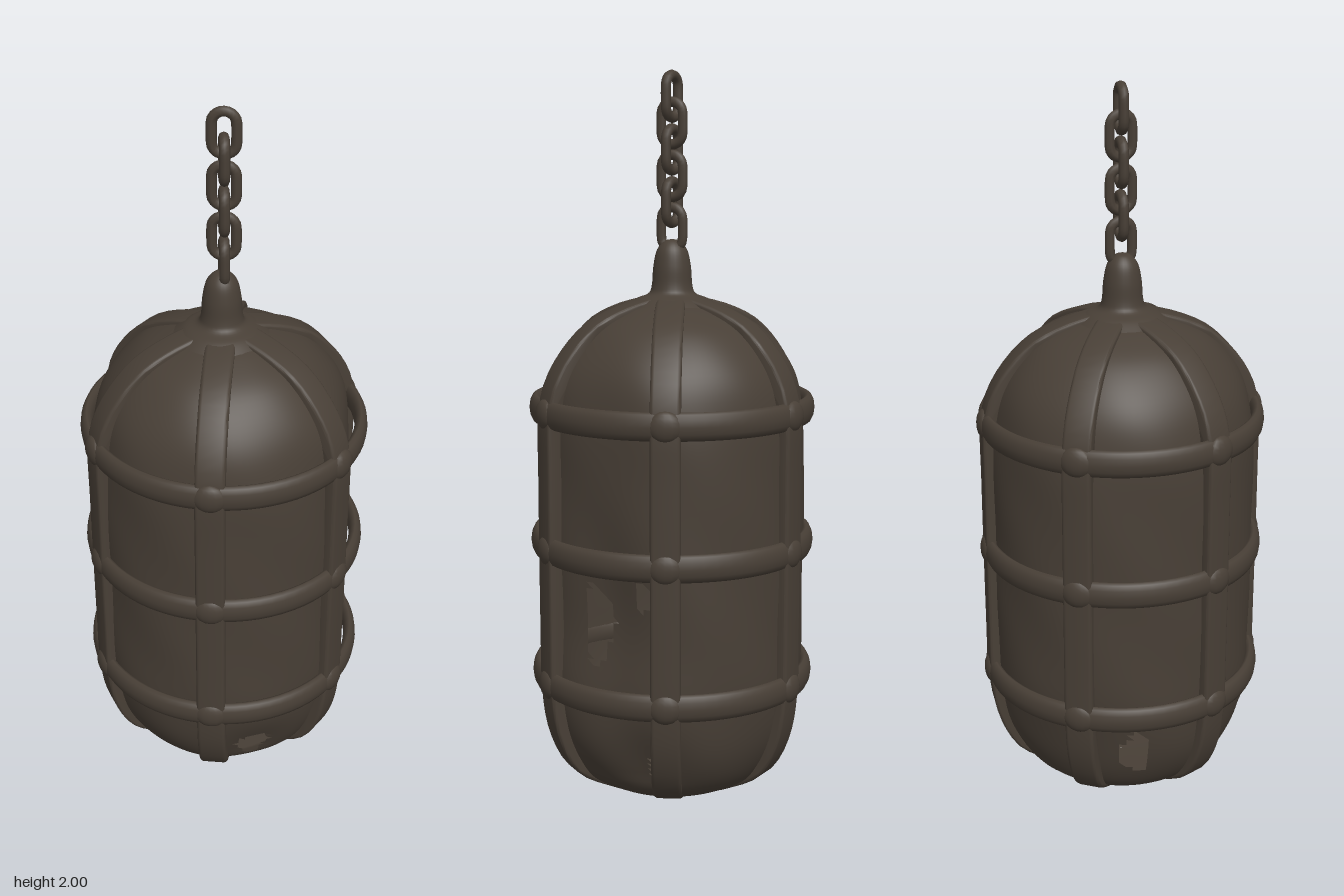
import * as THREE from 'three';
import { mergeVertices, toCreasedNormals } from 'three/addons/utils/BufferGeometryUtils.js';

const iron = new THREE.MeshStandardMaterial({ color: 0x483f36, side: THREE.DoubleSide });
iron.name = 'darkIron';

const V2 = (p) => new THREE.Vector2(p[0], p[1]);
const RIBS = 6;
const RING_HEIGHTS = [0.33, 0.71, 1.085];

function add(parent, geometry, name) {
  const mesh = new THREE.Mesh(geometry, iron);
  mesh.name = name;
  parent.add(mesh);
  return mesh;
}

// Hollow shell inside the cage: a lathe with dents and a few torn openings
function shellGeometry() {
  const side = new THREE.SplineCurve([
    [0.2, 0.01], [0.28, 0.06], [0.34, 0.17], [0.366, 0.32], [0.37, 0.5], [0.37, 0.9],
    [0.362, 1.08], [0.33, 1.2], [0.25, 1.3], [0.15, 1.355], [0.05, 1.385],
  ].map(V2));
  const profile = [new THREE.Vector2(0.001, 0.004), ...side.getSpacedPoints(90), new THREE.Vector2(0.001, 1.39)];
  let geo = new THREE.LatheGeometry(profile, 108);
  geo.deleteAttribute('uv');
  geo.deleteAttribute('normal');
  geo = mergeVertices(geo, 1e-5);
  const pos = geo.attributes.position;
  // dents: angle from the front toward +x, height, angular size, height size, depth
  const dents = [
    [1.05, 0.75, 0.4, 0.5, 0.028], [1.15, 0.5, 0.35, 0.18, 0.03],
    [-0.1, 0.14, 0.35, 0.1, 0.025], [1.4, 0.15, 0.3, 0.1, 0.02], [3.6, 0.2, 0.4, 0.12, 0.02],
  ];
  const angleGap = (a, b) => Math.atan2(Math.sin(a - b), Math.cos(a - b));
  for (let i = 0; i < pos.count; i++) {
    const x = pos.getX(i), y = pos.getY(i), z = pos.getZ(i);
    const r = Math.hypot(x, z);
    if (r < 0.1) continue;
    const a = Math.atan2(x, z);
    let d = 0.003 * Math.sin(5 * a + 9 * y) * Math.sin(7 * y + 2 * a);
    for (const [da, dy, wa, wy, depth] of dents)
      d -= depth * Math.exp(-((angleGap(a, da) / wa) ** 2) - ((y - dy) / wy) ** 2);
    const k = 1 + (d * Math.min(1, y / 0.1)) / r;
    pos.setXYZ(i, x * k, y, z * k);
  }
  geo.computeVertexNormals();
  // torn openings: angle, height, angular radius, height radius
  const tears = [
    [-0.14, 0.13, 0.16, 0.055], [0.98, 0.53, 0.13, 0.11], [1.4, 0.62, 0.07, 0.04],
    [1.5, 0.14, 0.08, 0.045], [-2.2, 0.2, 0.12, 0.07],
  ];
  const kept = [];
  const idx = geo.index.array;
  for (let i = 0; i < idx.length; i += 3) {
    let x = 0, y = 0, z = 0;
    for (let j = 0; j < 3; j++) {
      x += pos.getX(idx[i + j]) / 3;
      y += pos.getY(idx[i + j]) / 3;
      z += pos.getZ(idx[i + j]) / 3;
    }
    const a = Math.atan2(x, z);
    const torn = tears.some(([ta, ty, wa, wy]) => {
      const u = angleGap(a, ta) / wa, v = (y - ty) / wy;
      return u * u + v * v < 1 + 0.3 * Math.sin(3 * Math.atan2(v, u) + ta);
    });
    if (!torn) kept.push(idx[i], idx[i + 1], idx[i + 2]);
  }
  geo.setIndex(kept);
  return geo;
}

// Flat bar bent along the cage outline, lying in the x-y plane
function ribGeometry() {
  const outer = new THREE.SplineCurve([
    [0.19, 0.01], [0.3, 0.07], [0.358, 0.17], [0.382, 0.3], [0.385, 0.5], [0.385, 0.9],
    [0.382, 1.09], [0.347, 1.2], [0.265, 1.3], [0.17, 1.352], [0.05, 1.385],
  ].map(V2));
  const n = 48, front = [], back = [];
  for (let i = 0; i <= n; i++) {
    const p = outer.getPointAt(i / n), t = outer.getTangentAt(i / n);
    front.push(p);
    back.unshift(new THREE.Vector2(p.x - t.y * 0.03, Math.max(0.015, p.y + t.x * 0.03)));
  }
  const geo = new THREE.ExtrudeGeometry(new THREE.Shape([...front, ...back]), {
    depth: 0.06, bevelEnabled: true, bevelThickness: 0.01, bevelSize: 0.008, bevelSegments: 3,
  });
  geo.translate(0, 0, -0.03);
  return toCreasedNormals(geo, 0.7);
}

// Elongated chain link standing upright in the x-y plane
function linkGeometry() {
  const points = [];
  for (let i = 0; i < 16; i++) {
    const a = (i / 16) * Math.PI * 2;
    points.push(new THREE.Vector3(0.032 * Math.cos(a), 0.032 * Math.sin(a) + 0.025 * Math.sign(Math.round(Math.sin(a) * 100)), 0));
  }
  return new THREE.TubeGeometry(new THREE.CatmullRomCurve3(points, true), 32, 0.014, 8, true);
}

export function createModel() {
  const model = new THREE.Group();
  model.name = 'hangingCage';

  add(model, shellGeometry(), 'innerShell');

  // Upright ribs
  const rib = ribGeometry();
  for (let i = 0; i < RIBS; i++)
    add(model, rib, 'rib').rotation.y = (i / RIBS) * Math.PI * 2;

  // Horizontal hoops with a lump at each rib crossing
  const hoop = new THREE.TorusGeometry(0.379, 0.018, 12, 72);
  hoop.rotateX(Math.PI / 2);
  hoop.scale(1, 2.1, 1);
  const lump = new THREE.SphereGeometry(1, 14, 10);
  for (const y of RING_HEIGHTS) {
    add(model, hoop, 'hoop').position.y = y;
    for (let i = 0; i < RIBS; i++) {
      const a = (i / RIBS) * Math.PI * 2;
      const m = add(model, lump, 'jointLump');
      m.scale.set(0.022, 0.042, 0.046);
      m.position.set(0.383 * Math.cos(a), y, -0.383 * Math.sin(a));
      m.rotation.y = a;
    }
  }

  // Crown where the ribs meet, with the knob holding the chain
  const crown = new THREE.SplineCurve([
    [0.13, 1.362], [0.1, 1.382], [0.066, 1.396], [0.056, 1.42], [0.052, 1.47], [0.042, 1.515], [0.022, 1.54], [0.001, 1.545],
  ].map(V2));
  const knob = add(model, new THREE.LatheGeometry(crown.getPoints(36), 28), 'crownKnob');
  knob.position.x = -0.006;

  // Chain of alternating links
  const link = linkGeometry();
  const count = 6, low = 1.575, high = 1.929;
  for (let i = 0; i < count; i++) {
    const m = add(model, link, 'chainLink');
    m.position.y = low + ((high - low) * i) / (count - 1);
    m.rotation.y = i % 2 ? -0.5 : 1.2;
  }
  return model;
}
